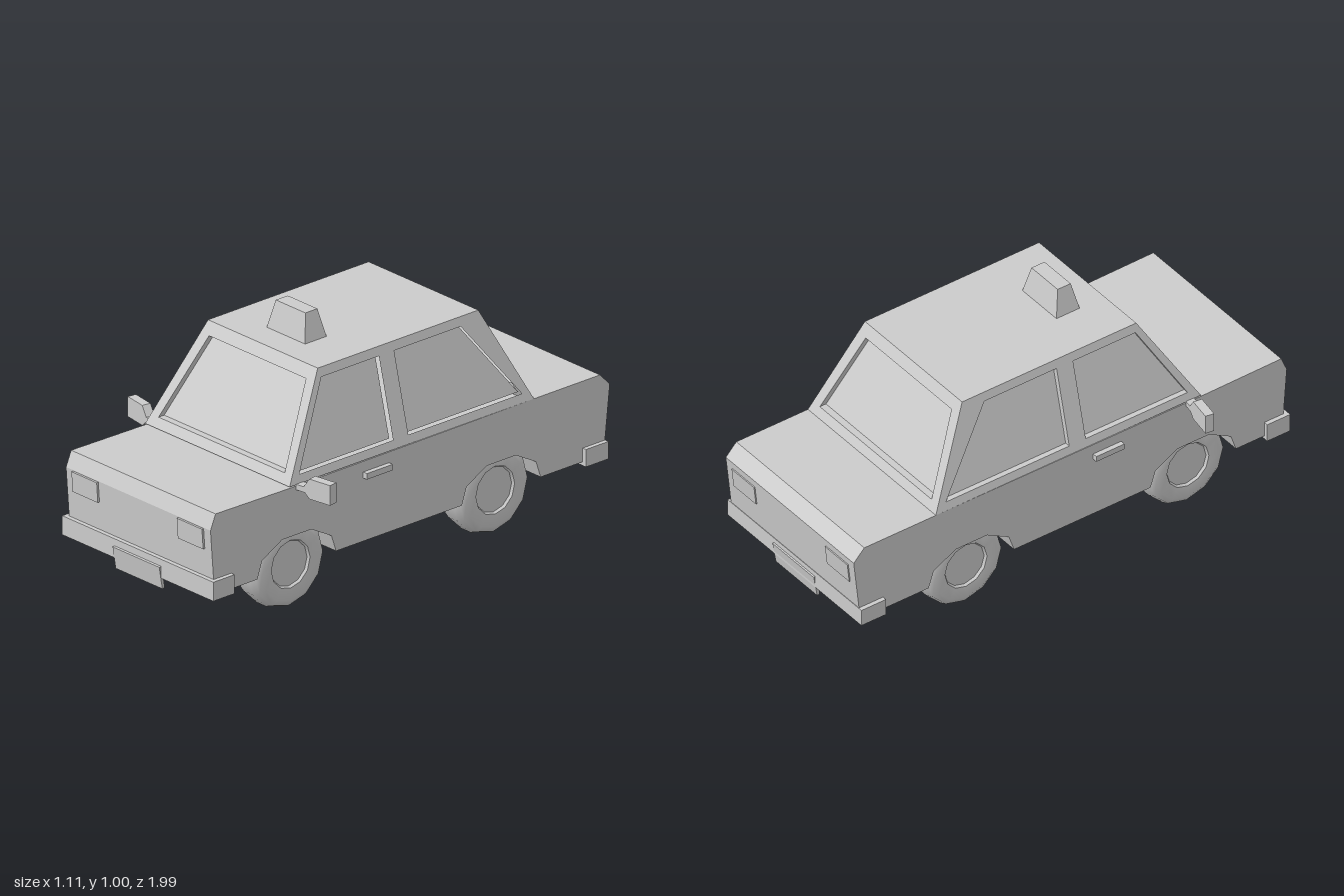
import * as THREE from 'three';
import { toCreasedNormals } from 'three/addons/utils/BufferGeometryUtils.js';

const BASE_Y = 0.51, ROOF_Y = 0.89;
const HALF_W = 0.395, ROOF_HALF_W = 0.3;
const FRONT_Z = [0.59, 0.365], REAR_Z = [0.62, 0.43]; // distances at cabin base and roof
const AXLES = [0.555, -0.458], AXLE_Y = 0.181;

const toShape = (pts) => new THREE.Shape(pts.map(([x, y]) => new THREE.Vector2(x, y)));
const extrude = (shape, depth) => new THREE.ExtrudeGeometry(shape, { depth, bevelEnabled: false });

export function createModel() {
  const car = new THREE.Group();
  car.name = 'taxi';
  const material = new THREE.MeshStandardMaterial({ color: 0xcccccc });

  function add(name, geometry, x = 0, y = 0, z = 0, parent = car) {
    const mesh = new THREE.Mesh(geometry, material);
    mesh.name = name;
    mesh.position.set(x, y, z);
    parent.add(mesh);
    return mesh;
  }
  const box = (name, w, h, d, x, y, z) => add(name, new THREE.BoxGeometry(w, h, d), x, y, z);

  // Lower body: (z, y) profiles, a solid core with two flanks cut for the wheels
  const upper = [[-0.965, 0.187], [-0.995, 0.46], [-0.947, 0.51], [-0.62, 0.51],
    [0.59, 0.505], [0.957, 0.51], [0.982, 0.45], [0.962, 0.187]];
  const arch = [[0.195, 0.187], [0.172, 0.255], [0.072, 0.31],
    [-0.072, 0.31], [-0.172, 0.255], [-0.195, 0.187]];
  const arches = AXLES.flatMap((z) => arch.map(([dz, y]) => [z + dz, y]));
  const slab = (name, profile, x0, x1) => {
    const g = extrude(toShape(profile.map(([z, y]) => [-z, y])), x1 - x0);
    add(name, g.rotateY(Math.PI / 2), x0);
  };
  slab('bodyCore', upper, -0.2, 0.2);
  slab('bodyFlankLeft', [...upper, ...arches], 0.2, HALF_W);
  slab('bodyFlankRight', [...upper, ...arches], -HALF_W, -0.2);

  // Cabin wall leaning inward, with window openings and recessed panes
  function cabinWall(name, outline, windows, [d0, d1], depth, angle) {
    const lean = (g) => {
      const p = g.attributes.position;
      for (let i = 0; i < p.count; i++) {
        const t = (p.getY(i) - BASE_Y) / (ROOF_Y - BASE_Y);
        p.setZ(i, p.getZ(i) - depth + d0 + (d1 - d0) * t);
      }
      g.computeVertexNormals();
      return g.rotateY(angle);
    };
    const wall = toShape(outline);
    wall.holes = windows.map((w) => new THREE.Path(w.map(([x, y]) => new THREE.Vector2(x, y))));
    add(name + 'Frame', lean(extrude(wall, depth)));
    windows.forEach((w) => add(name + 'Window', lean(new THREE.ShapeGeometry(toShape(w)))));
  }
  const endWall = [[-HALF_W, BASE_Y], [HALF_W, BASE_Y], [ROOF_HALF_W, ROOF_Y], [-ROOF_HALF_W, ROOF_Y]];
  const endWindow = [[-0.345, 0.545], [0.345, 0.545], [0.265, 0.845], [-0.265, 0.845]];
  cabinWall('front', endWall, [endWindow], FRONT_Z, 0.028, 0);
  cabinWall('rear', endWall, [endWindow], REAR_Z, 0.028, Math.PI);

  const sideWall = [[FRONT_Z[0], BASE_Y], [FRONT_Z[1], ROOF_Y], [-REAR_Z[1], ROOF_Y], [-REAR_Z[0], BASE_Y]];
  const sideWindows = [
    [[0.535, 0.543], [0.355, 0.855], [0.07, 0.855], [0.07, 0.543]],
    [[-0.005, 0.543], [-0.005, 0.855], [-0.335, 0.855], [-0.568, 0.543]],
  ];
  for (const s of [1, -1]) {
    const flip = (pts) => pts.map(([z, y]) => [-s * z, y]);
    cabinWall(s > 0 ? 'left' : 'right', flip(sideWall), sideWindows.map(flip),
      [HALF_W, ROOF_HALF_W], 0.022, s * Math.PI / 2);
  }
  box('roof', 2 * ROOF_HALF_W, 0.02, FRONT_Z[1] + REAR_Z[1], 0, ROOF_Y - 0.01, (FRONT_Z[1] - REAR_Z[1]) / 2);

  // Tapered roof sign
  const sign = new THREE.BoxGeometry(0.21, 0.11, 0.106);
  const sp = sign.attributes.position;
  for (let i = 0; i < sp.count; i++) {
    if (sp.getY(i) > 0) sp.setXYZ(i, sp.getX(i) * 0.77, sp.getY(i), sp.getZ(i) * 0.56);
  }
  sign.computeVertexNormals();
  add('roofSign', sign, 0, 0.945, 0.198);

  // Bumpers and number plates
  box('frontBumper', 0.826, 0.076, 0.105, 0, 0.212, 0.932);
  box('rearBumper', 0.826, 0.07, 0.112, 0, 0.207, -0.917);
  box('frontPlate', 0.255, 0.092, 0.012, 0, 0.176, 0.98).rotation.x = 0.17;
  box('rearPlate', 0.255, 0.092, 0.012, 0, 0.176, -0.966).rotation.x = -0.17;

  // Wheel: rounded tyre with a shallow hub on both faces
  const half = [[0, 0.052], [0.09, 0.052], [0.096, 0.062], [0.145, 0.065], [0.168, 0.052], [0.179, 0.025]];
  const tyre = [...half.map(([r, w]) => new THREE.Vector2(r, -w)),
    ...half.slice().reverse().map(([r, w]) => new THREE.Vector2(r, w))];
  const wheel = toCreasedNormals(new THREE.LatheGeometry(tyre, 12), 0.8).rotateZ(Math.PI / 2);

  // Mirror outline: stem widening to the housing
  const mirror = [[0, 0.49], [0.04, 0.49], [0.062, 0.47], [0.16, 0.47],
    [0.16, 0.55], [0.062, 0.55], [0.035, 0.512], [0, 0.512]];

  for (const s of [1, -1]) {
    const side = s > 0 ? 'Left' : 'Right';
    add('frontWheel' + side, wheel, s * 0.3, AXLE_Y, AXLES[0]);
    add('rearWheel' + side, wheel, s * 0.3, AXLE_Y, AXLES[1]);
    box('doorHandle' + side, 0.03, 0.024, 0.128, s * 0.4, 0.452, 0.162);
    box('headlight' + side, 0.138, 0.082, 0.03, s * 0.288, 0.406, 0.972).rotation.x = 0.07;
    box('taillight' + side, 0.138, 0.082, 0.03, s * 0.288, 0.39, -0.977).rotation.x = -0.11;
    const m = add('sideMirror' + side, extrude(toShape(mirror.map(([x, y]) => [s * x, y])), 0.036),
      s * 0.39, 0, 0.523);
    m.rotation.y = s * 0.16;
  }
  return car;
}
